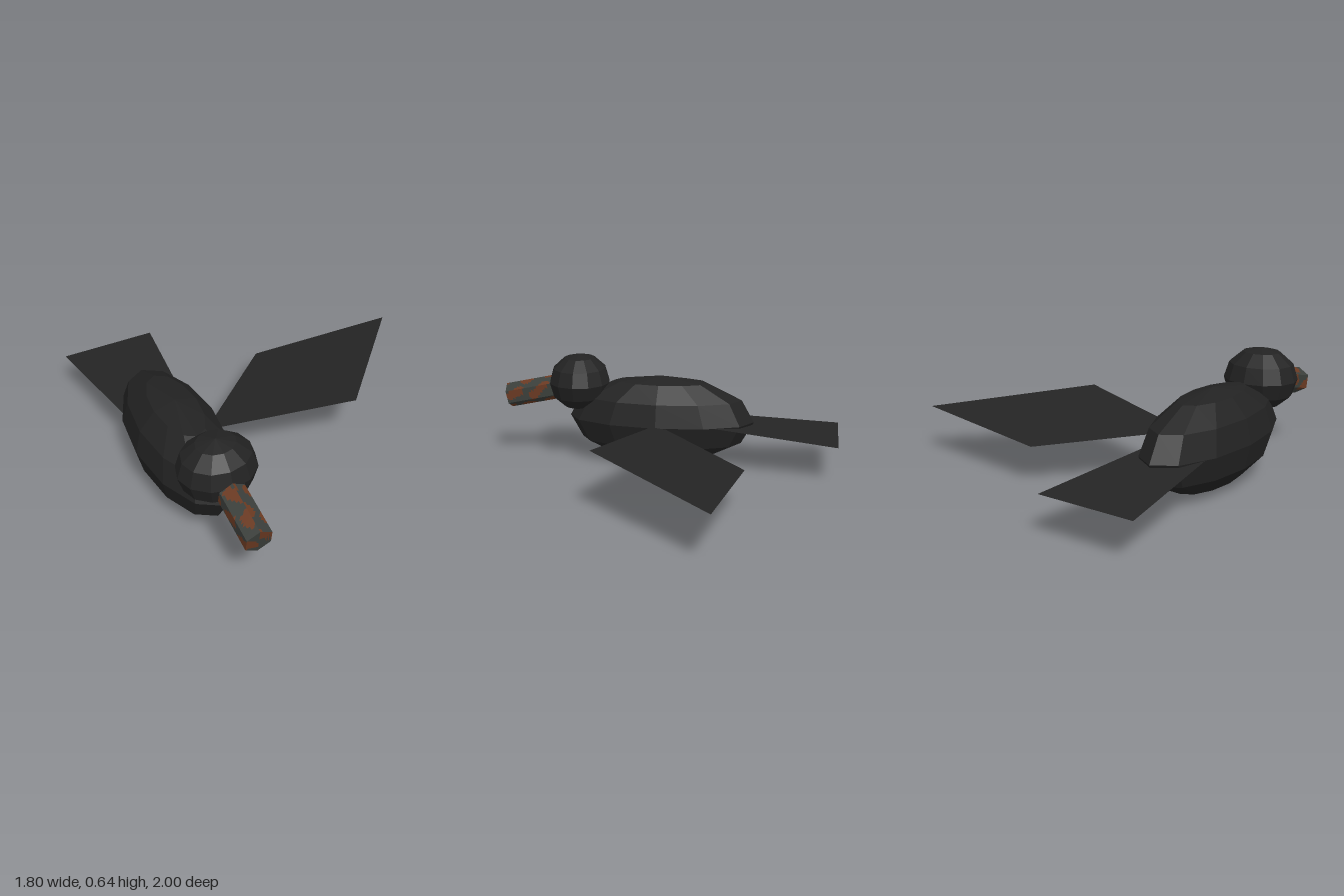
import * as THREE from 'three';

const CX = -0.64; // body axis

export function createModel() {
  const bird = new THREE.Group();
  bird.name = 'bird';
  const black = new THREE.MeshStandardMaterial({ name: 'black feathers', color: 0x222222, flatShading: true });
  const sheet = new THREE.MeshStandardMaterial({ name: 'flat feathers', color: 0x242424, side: THREE.DoubleSide });
  const grey = new THREE.MeshStandardMaterial({ name: 'beak grey', color: 0x3b3f3b });
  const rust = new THREE.MeshStandardMaterial({ name: 'beak rust', color: 0x6b3a22 });

  const add = (name, geometry, material, parent = bird) => {
    const mesh = new THREE.Mesh(geometry, material);
    mesh.name = name;
    parent.add(mesh);
    return mesh;
  };

  // Faceted body and head
  const ellipsoid = (name, y, z, rx, ry, rz) => {
    const mesh = add(name, new THREE.SphereGeometry(1, 12, 6), black);
    mesh.position.set(CX, y, z);
    mesh.scale.set(rx, ry, rz);
  };
  ellipsoid('body', 0.263, 0.05, 0.23, 0.263, 0.555);
  ellipsoid('head', 0.472, 0.545, 0.202, 0.169, 0.183);

  // Thin four-cornered feather sheets
  const quad = (name, corners) => {
    const g = new THREE.BufferGeometry();
    g.setAttribute('position', new THREE.Float32BufferAttribute(corners.flat(), 3));
    g.setIndex([0, 1, 2, 0, 2, 3]);
    g.computeVertexNormals();
    add(name, g, sheet);
  };
  quad('leftWing', [[-0.48, 0.265, 0.05], [0.29, 0.34, 0.28], [0.9, 0.266, -0.42], [0.09, 0.21, -0.51]]);
  quad('tail', [[CX - 0.15, 0.275, -0.1], [CX + 0.15, 0.275, -0.1], [CX + 0.263, 0.21, -1], [CX - 0.263, 0.21, -1]]);

  // Six-sided beak, running along its own z and tilted down
  const beak = new THREE.Group();
  beak.name = 'beak';
  beak.position.set(CX, 0.368, 0.985);
  beak.rotation.x = 0.215;
  bird.add(beak);
  const R = 0.074, L = 0.42;

  // Rust patches: each small cell takes one of the two colours
  const paint = (geometry, seed) => {
    const p = geometry.attributes.position, index = geometry.index;
    geometry.clearGroups();
    for (let i = 0; i < index.count; i += 3) {
      let u = 0, v = 0;
      for (let k = 0; k < 3; k++) {
        u += p.getX(index.getX(i + k)) / 3;
        v += p.getY(index.getX(i + k)) / 3;
      }
      const n = Math.sin(u * 62 + seed * 2.1 + Math.sin(v * 31)) + Math.sin(v * 43 + seed * 3.7 + u * 25);
      geometry.addGroup(i, 3, n > 0.25 ? 1 : 0);
    }
    return geometry;
  };
  for (let i = 0; i < 6; i++) {
    const side = new THREE.Group();
    side.rotation.z = i * Math.PI / 3;
    beak.add(side);
    const face = add('beakSide', paint(new THREE.PlaneGeometry(R, L, 5, 24), i), [grey, rust], side);
    face.rotation.set(-Math.PI / 2, 0, 0);
    face.position.set(0, R * Math.cos(Math.PI / 6), -L / 2);
    side.rotation.z += Math.PI / 6;
  }
  const tip = add('beakTip', paint(new THREE.RingGeometry(0, R, 6, 5), 2), [grey, rust], beak);
  tip.rotation.z = Math.PI / 6;

  return bird;
}
